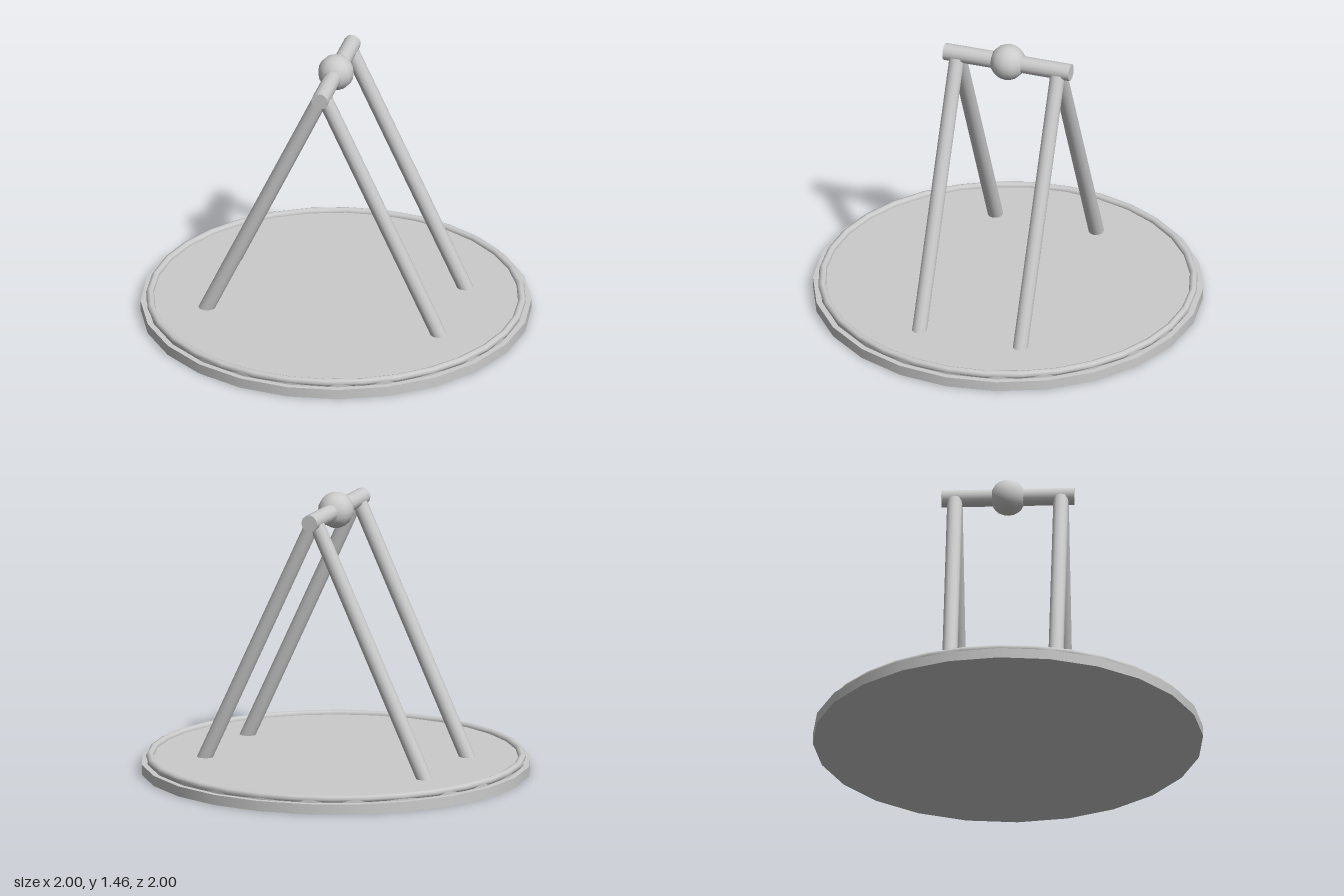
import * as THREE from 'three';

const grey = new THREE.MeshStandardMaterial({ color: 0xcccccc });

function part(name, geometry, parent, y = 0) {
  const mesh = new THREE.Mesh(geometry, grey);
  mesh.name = name;
  mesh.position.y = y;
  parent.add(mesh);
  return mesh;
}

// Round bar between two points
function bar(name, a, b, radius, parent) {
  const dir = b.clone().sub(a);
  const mesh = part(name, new THREE.CylinderGeometry(radius, radius, dir.length(), 12), parent);
  mesh.position.copy(a).add(b).multiplyScalar(0.5);
  mesh.quaternion.setFromUnitVectors(new THREE.Vector3(0, 1, 0), dir.normalize());
  return mesh;
}

export function createModel() {
  const model = new THREE.Group();
  model.name = 'standWithBase';

  // Stepped round base with a raised rim
  part('basePlate', new THREE.CylinderGeometry(1, 1, 0.053, 24), model, 0.0265);
  part('baseTop', new THREE.CylinderGeometry(0.97, 0.97, 0.03, 24), model, 0.055);
  const rim = new THREE.TorusGeometry(0.953, 0.02, 8, 32).rotateX(Math.PI / 2);
  part('baseRim', rim, model, 0.071);

  // Two A-shaped frames, front and back
  for (const z of [0.272, -0.272]) {
    const frame = new THREE.Group();
    frame.name = z > 0 ? 'frontFrame' : 'backFrame';
    for (const side of [1, -1]) {
      bar(side > 0 ? 'leftLeg' : 'rightLeg',
        new THREE.Vector3(side * 0.622, 0.05, z),
        new THREE.Vector3(side * 0.014, 1.345, z), 0.039, frame);
    }
    model.add(frame);
  }

  // Crossbar with a ball at its middle
  bar('crossbar', new THREE.Vector3(0, 1.367, -0.34), new THREE.Vector3(0, 1.367, 0.34), 0.044, model);
  part('ball', new THREE.SphereGeometry(0.093, 12, 10), model, 1.367);

  return model;
}
